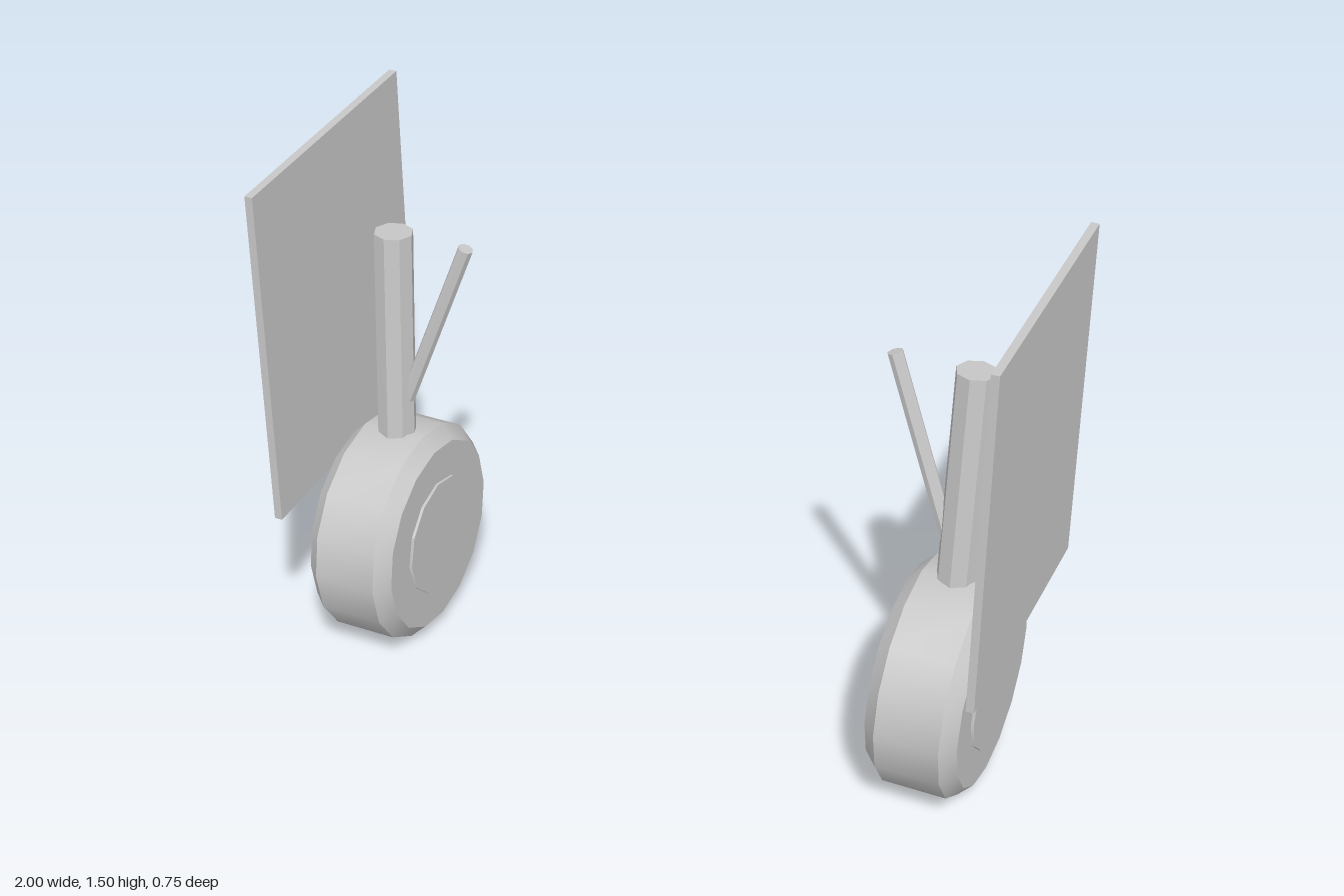
import * as THREE from 'three';
import { toCreasedNormals } from 'three/addons/utils/BufferGeometryUtils.js';

const metal = new THREE.MeshStandardMaterial({ color: 0xc8c8c8 });
metal.name = 'light grey';

const WHEEL = new THREE.Vector3(0.817, 0.313, 0.034);

function part(name, geometry, parent) {
  const mesh = new THREE.Mesh(toCreasedNormals(geometry, Math.PI / 6), metal);
  mesh.name = name;
  parent.add(mesh);
  return mesh;
}

// Eight-sided rod between two points
function rod(name, from, to, radius, parent) {
  const dir = to.clone().sub(from);
  const mesh = part(name, new THREE.CylinderGeometry(radius, radius, dir.length(), 8), parent);
  mesh.position.copy(from).addScaledVector(dir, 0.5);
  mesh.quaternion.setFromUnitVectors(new THREE.Vector3(0, 1, 0), dir.normalize());
  return mesh;
}

// One landing gear leg; side is +1 for left, -1 for right
function createGear(side) {
  const gear = new THREE.Group();
  gear.name = side > 0 ? 'leftGear' : 'rightGear';
  const at = (x, y, z) => new THREE.Vector3(side * x, y, z);

  // Tyre with chamfered shoulders
  const profile = [[0, -0.126], [0.275, -0.126], [0.313, -0.088],
    [0.313, 0.088], [0.275, 0.126], [0, 0.126]].map(([r, y]) => new THREE.Vector2(r, y));
  const tyre = part('tyre', new THREE.LatheGeometry(profile, 16), gear);

  // Hub standing slightly proud on both faces
  const hub = part('hub', new THREE.CylinderGeometry(0.171, 0.171, 0.268, 12), gear);
  for (const mesh of [tyre, hub]) {
    mesh.rotation.z = Math.PI / 2;
    mesh.position.set(side * WHEEL.x, WHEEL.y, WHEEL.z);
  }

  // Main strut leaning back from the axle, and the side brace
  rod('strut', at(WHEEL.x, WHEEL.y, WHEEL.z), at(0.817, 1.224, -0.036), 0.054, gear);
  rod('brace', at(0.817, 0.635, 0.008), at(0.602, 1.223, -0.037), 0.021, gear);

  // Gear door
  const door = part('door', new THREE.BoxGeometry(0.022, 1, 0.754), gear);
  door.position.set(side * 0.989, 1.004, 0);
  return gear;
}

export function createModel() {
  const model = new THREE.Group();
  model.name = 'landingGear';
  for (const side of [1, -1]) model.add(createGear(side));
  return model;
}
